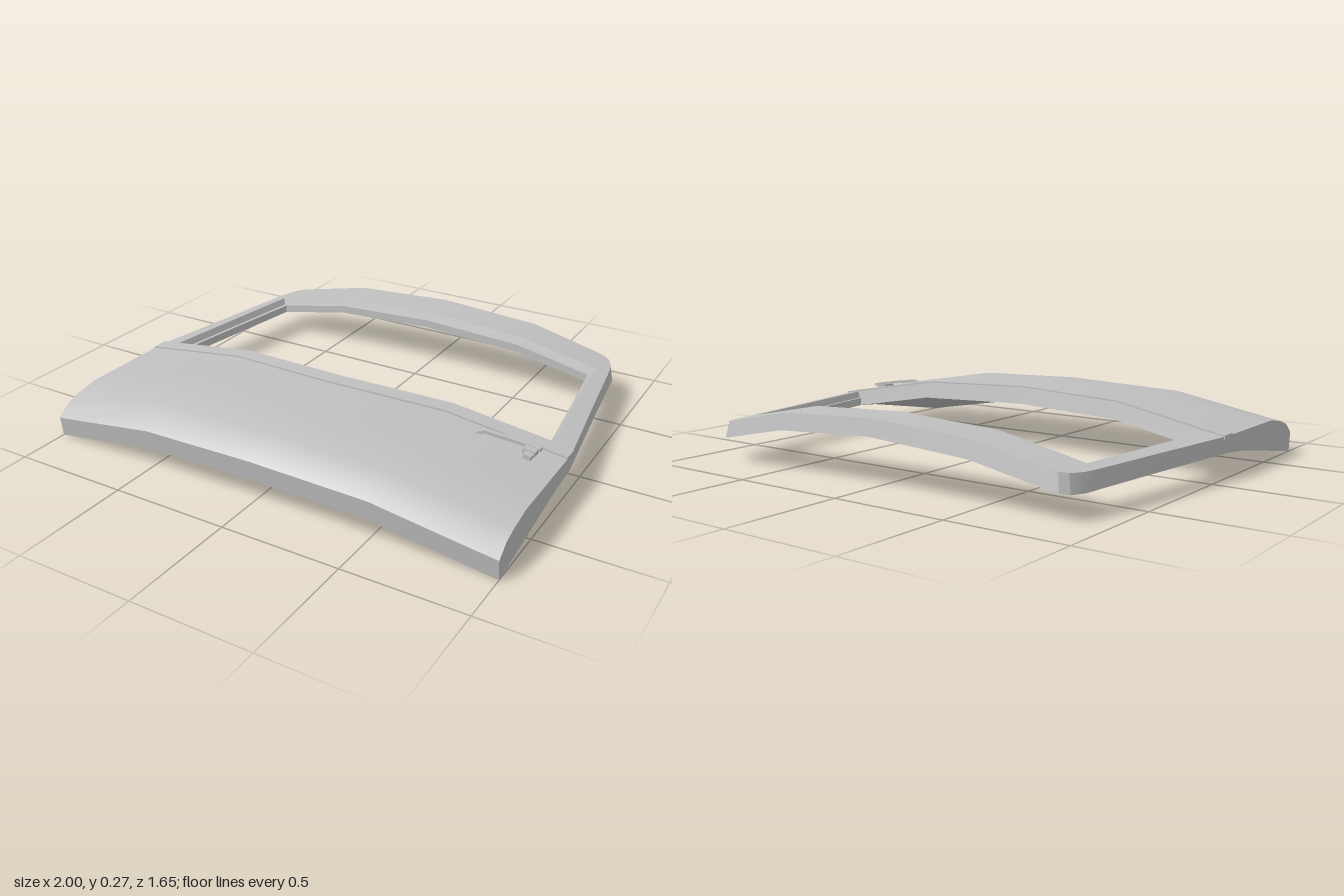
import * as THREE from 'three';
import { toCreasedNormals } from 'three/addons/utils/BufferGeometryUtils.js';

// Piecewise-linear interpolation through [position, value] pairs
function interp(pairs, t) {
  if (t <= pairs[0][0]) return pairs[0][1];
  for (let i = 1; i < pairs.length; i++) {
    const [a, va] = pairs[i - 1], [b, vb] = pairs[i];
    if (t <= b) return va + (vb - va) * (t - a) / (b - a);
  }
  return pairs[pairs.length - 1][1];
}

// Bow of the door across its width, normalised by the tapering outline
function bow(x, z) {
  const back = Math.max(0, 0.13 - z);
  const u = Math.abs(x) / (1 - 0.148 * back);
  return interp([[0, 0], [0.5, -0.015], [1, -0.1], [1.1, -0.117]], u) - 0.01 * back * u;
}
const frontEdge = (x) => 0.82 - 0.03 * x * x;
const yTop = (x, z) => bow(x, z) + 0.267 +
  interp([[-0.22, 0], [-0.12, -0.018], [-0.055, -0.038], [0, -0.082]], z - frontEdge(x));
const yBottom = (x, z) => bow(x, z) + interp([[0.13, 0.2], [0.3, 0.183], [0.78, 0.1]], z);
const beltZ = (x) => interp([[0, 0.165], [0.92, 0.095], [1, 0.13]], Math.abs(x));

// Skin a row of closed cross-sections, optionally capping both ends
function loft(sections, capped) {
  const pos = [];
  const tri = (...pts) => pts.forEach((p) => pos.push(...p));
  const n = sections[0].length;
  for (let i = 0; i < sections.length - 1; i++) {
    const a = sections[i], b = sections[i + 1];
    for (let j = 0; j < n; j++) {
      const k = (j + 1) % n;
      tri(a[j], a[k], b[j]);
      tri(a[k], b[k], b[j]);
    }
  }
  if (capped) {
    const s = sections[0], e = sections[sections.length - 1];
    for (let i = 0; i < n / 2 - 1; i++) {
      const p = n - 1 - i, q = p - 1;
      tri(e[i], e[i + 1], e[q]);
      tri(e[i], e[q], e[p]);
      tri(s[i], s[q], s[i + 1]);
      tri(s[i], s[p], s[q]);
    }
  }
  const geo = new THREE.BufferGeometry();
  geo.setAttribute('position', new THREE.Float32BufferAttribute(pos, 3));
  return toCreasedNormals(geo, 0.4);
}

export function createModel() {
  const group = new THREE.Group();
  group.name = 'vehicleDoor';
  const paint = new THREE.MeshStandardMaterial({ color: 0xc0c0c0 });
  paint.name = 'greyPaint';
  const add = (name, geo, parent = group) => {
    const mesh = new THREE.Mesh(geo, paint);
    mesh.name = name;
    parent.add(mesh);
    return mesh;
  };
  const columns = [-1, -0.92, -0.5, 0, 0.5, 0.92, 1];

  // Lower panel: bowed outer skin, rolled front edge and flat inner skin
  add('lowerPanel', loft(columns.map((x) => {
    const f = frontEdge(x), b = beltZ(x);
    const lip = Math.abs(x) < 1 ? 0.015 : 0;
    const top = [b, 0.3, 0.45, f - 0.22, f - 0.12, f - 0.055, f];
    const bottom = [b - lip, 0.3, 0.42, 0.54, 0.64, 0.72, f - 0.01];
    return [
      ...top.map((z) => [x, yTop(x, z), z]),
      ...bottom.reverse().map((z) => [x, yBottom(x, z), z]),
    ];
  }), true));

  // Window frame: half outline from the belt to the middle of the top rail,
  // as outer edge, recess edge, inner lip and outward flare of the rim
  const half = [
    [[1, 0.13], [0.92, 0.095], [0.89, 0.08], 0],
    [[0.937, -0.28], [0.873, -0.28], [0.845, -0.28], 0.004],
    [[0.885, -0.63], [0.83, -0.63], [0.8, -0.605], 0.008],
    [[0.87, -0.71], [0.83, -0.63], [0.8, -0.605], 0.014],
    [[0.845, -0.765], [0.82, -0.63], [0.79, -0.605], 0.018],
    [[0.815, -0.787], [0.8, -0.63], [0.78, -0.605], 0.02],
    [[0.76, -0.795], [0.75, -0.63], [0.74, -0.605], 0.02],
    [[0.46, -0.81], [0.46, -0.63], [0.46, -0.605], 0.018],
    [[0, -0.812], [0, -0.63], [0, -0.605], 0.015],
  ];
  const flip = ([x, z]) => [-x, z];
  const stations = [
    ...half,
    ...half.slice(0, -1).reverse().map(([o, r, l, s]) => [flip(o), flip(r), flip(l), s]),
  ];
  add('windowFrame', loft(stations.map(([o, r, l, flare]) => {
    const at = (p, q, t) => [p[0] + (q[0] - p[0]) * t, p[1] + (q[1] - p[1]) * t];
    const top = ([x, z], dy = 0) => [x, yTop(x, z) + dy, z];
    const bottom = ([x, z]) => [x, yBottom(x, z), z];
    const len = Math.hypot(o[0], o[1]);
    const rim = [o[0] * (1 + flare / len), o[1] * (1 + flare / len)];
    return [
      top(r), top(at(r, o, 0.5)), top(o),
      bottom(rim), bottom(at(rim, l, 0.5)), bottom(l),
      top(l, -0.032), top(at(r, l, 0.45), -0.03),
    ];
  }), false));

  // Slightly raised moulding along the belt line
  add('beltMoulding', loft(columns.map((x) => {
    const b = Math.abs(x) < 1 ? beltZ(x) : 0.09;
    const z0 = b + 0.015, z1 = b + 0.083;
    return [
      [x, yTop(x, z0) + 0.006, z0], [x, yTop(x, z1) + 0.006, z1],
      [x, yTop(x, z1) - 0.01, z1], [x, yTop(x, z0) - 0.01, z0],
    ];
  }), true));

  // Door handle: bent grip bar, pivot block and push button
  const handle = new THREE.Group();
  handle.name = 'doorHandle';
  group.add(handle);
  const grip = [[0.64, 0.222, 0.25], [0.69, 0.241, 0.243], [0.8, 0.227, 0.229], [0.91, 0.209, 0.215]];
  add('gripBar', loft(grip.map(([x, y, z]) => [
    [x, y, z - 0.011], [x, y, z + 0.011],
    [x, y - 0.013, z + 0.011], [x, y - 0.013, z - 0.011],
  ]), true), handle);
  const pivot = add('pivotBlock', new THREE.BoxGeometry(0.05, 0.035, 0.05), handle);
  pivot.position.set(0.875, 0.195, 0.235);
  pivot.rotation.z = -0.17;
  const button = add('pushButton', new THREE.BoxGeometry(0.032, 0.03, 0.05), handle);
  button.position.set(0.88, 0.191, 0.265);
  button.rotation.z = -0.17;

  return group;
}
